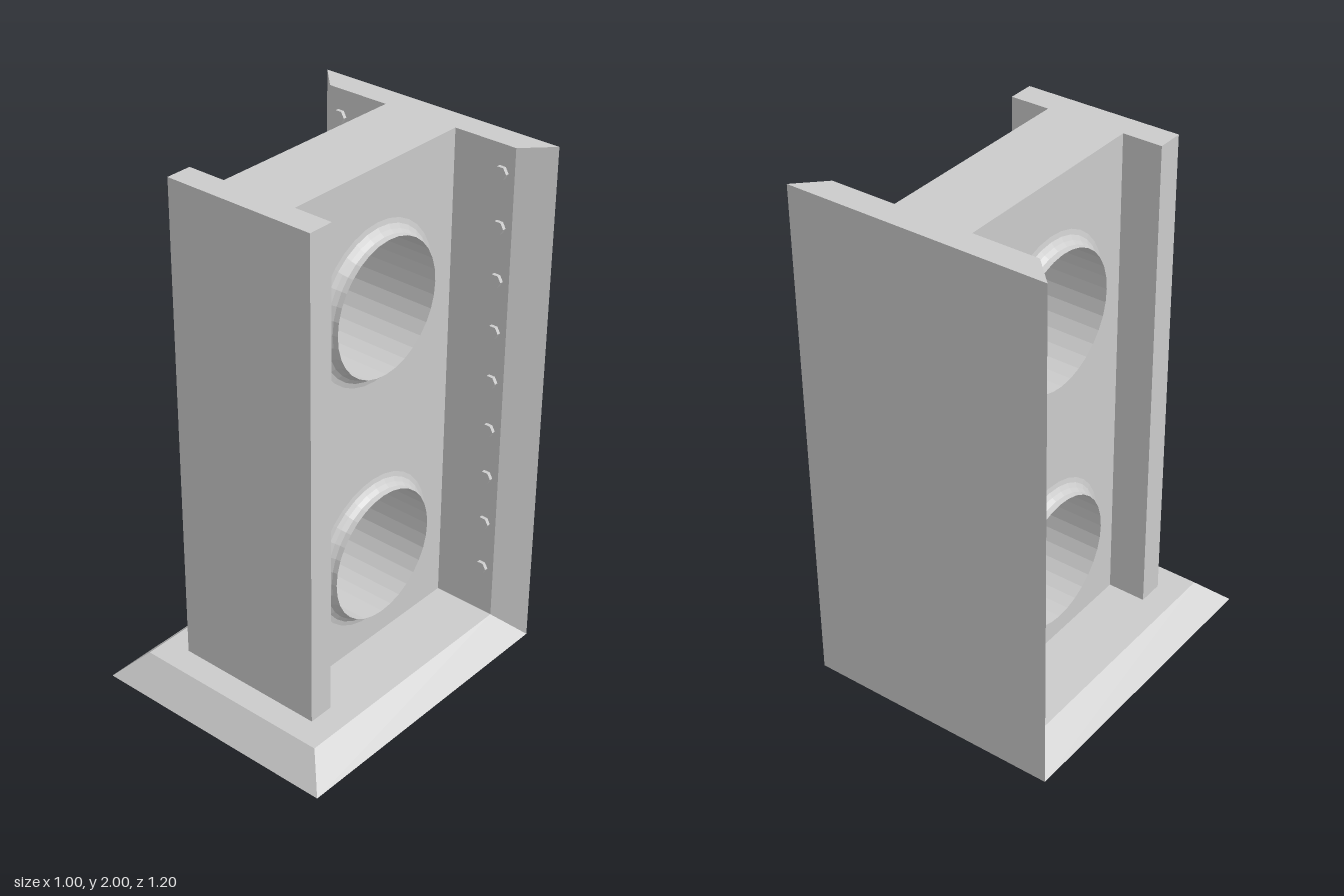
import * as THREE from 'three';

const material = new THREE.MeshStandardMaterial({ color: 0xcccccc, flatShading: true });

export function createModel() {
  const group = new THREE.Group();

  function add(name, geometry, x = 0, y = 0, z = 0) {
    const mesh = new THREE.Mesh(geometry, material);
    mesh.name = name;
    mesh.position.set(x, y, z);
    group.add(mesh);
    return mesh;
  }

  // Box whose vertices are moved by a rule
  function shapedBox(w, h, d, rule) {
    const geometry = new THREE.BoxGeometry(w, h, d);
    const p = geometry.attributes.position;
    const v = new THREE.Vector3();
    for (let i = 0; i < p.count; i++) {
      v.fromBufferAttribute(p, i);
      rule(v);
      p.setXYZ(i, v.x, v.y, v.z);
    }
    geometry.computeVertexNormals();
    return geometry;
  }

  // Base slab, bevelled inward to its top face
  add('base', shapedBox(1, 0.1, 1.2, (v) => {
    if (v.y > 0) { v.x *= 0.8; v.z *= 5 / 6; }
  }), 0, 0.05, 0);

  // Back plate, its sides bevelled toward the front
  add('backPlate', shapedBox(1, 2, 0.1, (v) => {
    if (v.z > 0) v.x *= 0.8;
  }), 0, 1, -0.55);

  // Front flange
  add('frontFlange', new THREE.BoxGeometry(0.6, 1.9, 0.1), 0, 1.05, 0.35);

  // Web with two round openings, drawn in z and y and extruded along x
  const holeHeights = [0.5, 1.5];
  const web = new THREE.Shape();
  web.moveTo(-0.5, 0.1);
  web.lineTo(0.3, 0.1);
  web.lineTo(0.3, 2);
  web.lineTo(-0.5, 2);
  web.closePath();
  for (const y of holeHeights) {
    web.holes.push(new THREE.Path().absarc(-0.1, y, 0.27, 0, Math.PI * 2, true));
  }
  const webGeometry = new THREE.ExtrudeGeometry(web, { depth: 0.3, bevelEnabled: false, curveSegments: 32 });
  webGeometry.rotateY(-Math.PI / 2);
  add('web', webGeometry, 0.15, 0, 0);

  // Sleeve lining each opening, with a concave flare where it meets the web
  const flare = [];
  for (let i = 0; i <= 4; i++) {
    const a = (i / 4) * Math.PI / 2;
    flare.push(new THREE.Vector2(0.3 - 0.047 * Math.sin(a), 0.2 - 0.05 * Math.cos(a)));
  }
  const mirrored = flare.slice().reverse().map((p) => new THREE.Vector2(p.x, -p.y));
  const sleeve = new THREE.LatheGeometry([...flare, ...mirrored], 32);
  sleeve.rotateZ(Math.PI / 2);
  for (const y of holeHeights) add('holeSleeve', sleeve, 0, y, -0.1);

  // Rows of hexagonal bolt heads on the back plate
  const bolt = new THREE.CylinderGeometry(0.025, 0.025, 0.014, 6);
  bolt.rotateY(Math.PI / 6).rotateX(Math.PI / 2);
  for (const side of [-1, 1]) {
    for (let i = 0; i < 9; i++) add('bolt', bolt, side * 0.35, 0.3 + i * 0.2, -0.493);
  }

  return group;
}
